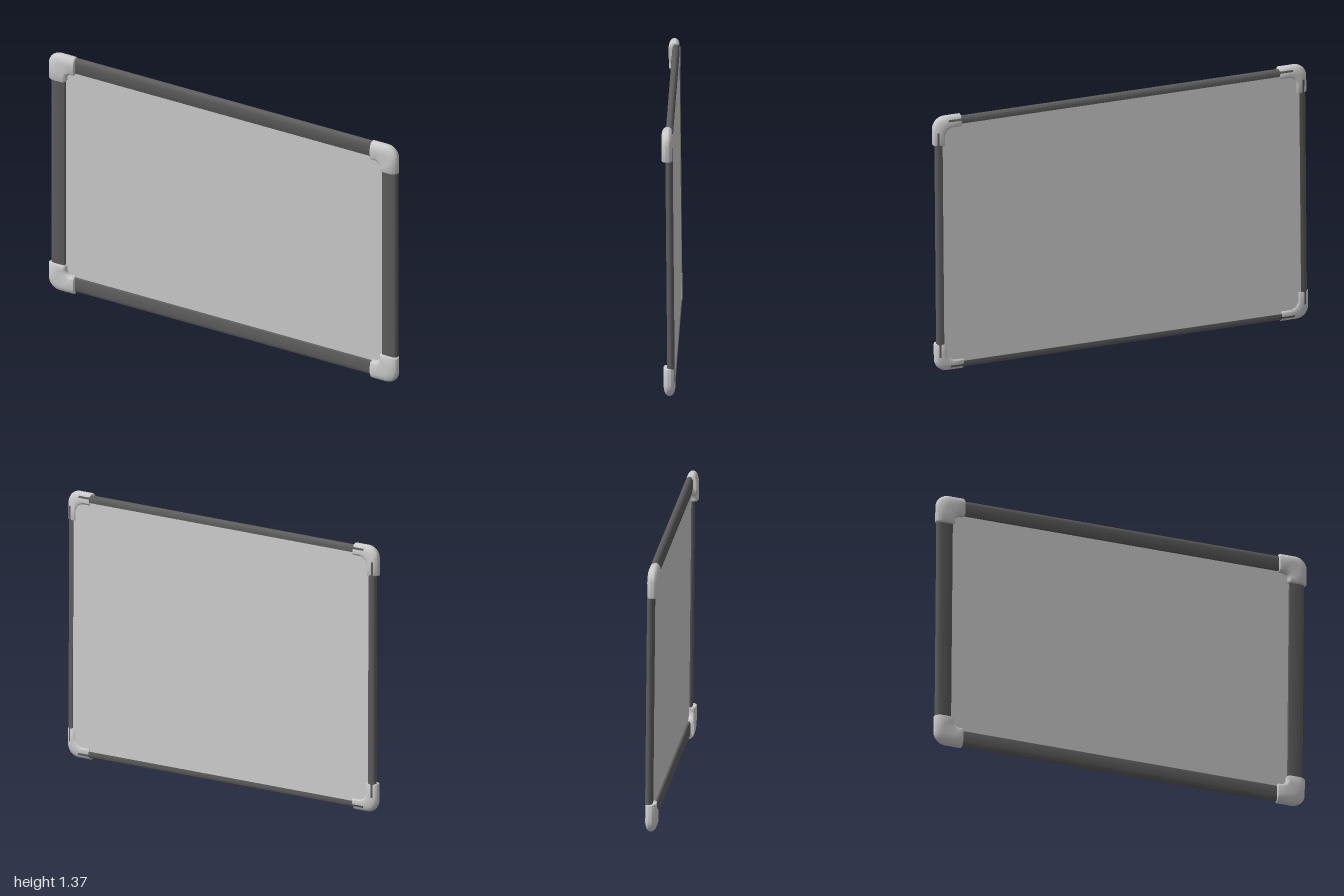
import * as THREE from 'three';
import { toCreasedNormals } from 'three/addons/utils/BufferGeometryUtils.js';

const HALF_W = 0.996, HALF_H = 0.682; // outer size over the corner caps
const RAIL_INSET = 0.009;

// Rail: rounded outside, wide front face, narrow lip at the back.
function railGeometry(length) {
  const s = new THREE.Shape();
  s.moveTo(0, -0.009);
  s.bezierCurveTo(0, 0.003, 0.01, 0.0095, 0.028, 0.0095);
  s.lineTo(0.07, 0.0085);
  s.quadraticCurveTo(0.083, 0.008, 0.083, 0.002);
  s.lineTo(0.083, -0.008);
  s.lineTo(0.036, -0.008);
  s.lineTo(0.036, -0.0275);
  s.lineTo(0.022, -0.0275);
  s.bezierCurveTo(0.01, -0.0275, 0, -0.02, 0, -0.009);
  const g = new THREE.ExtrudeGeometry(s, { depth: length, bevelEnabled: false, curveSegments: 10 });
  g.translate(0, 0, -length / 2);
  // profile x -> y, profile y -> z, extrusion -> x
  g.applyMatrix4(new THREE.Matrix4().makeBasis(
    new THREE.Vector3(0, 1, 0), new THREE.Vector3(0, 0, 1), new THREE.Vector3(1, 0, 0)));
  return toCreasedNormals(g, 0.6);
}

// Corner cap: a rounded section carried round an L, outer edge to inner edge.
function cornerGeometry() {
  const s = new THREE.Shape();
  s.moveTo(0, 0);
  s.bezierCurveTo(0, 0.018, 0.018, 0.029, 0.045, 0.029);
  s.lineTo(0.082, 0.028);
  s.quadraticCurveTo(0.1, 0.026, 0.1, 0.01);
  s.lineTo(0.1, -0.012);
  s.lineTo(0.062, -0.014);
  s.quadraticCurveTo(0.062, -0.029, 0.045, -0.029);
  s.bezierCurveTo(0.018, -0.029, 0, -0.018, 0, 0);
  const profile = s.getPoints(8);
  const n = profile.length;

  const LEG = 0.15;
  // point on an L-shaped edge at offset d with bend radius r
  const bend = (d, r, a) => [d + r - r * Math.sin(a), d + r - r * Math.cos(a)];
  const stations = []; // [outer, inner, section scale]
  const leg = (at, scale) => [[at, 0], [at, 0.1], scale];
  const swap = ([o, i, k]) => [[o[1], o[0]], [i[1], i[0]], k];
  const start = [leg(LEG, 0), leg(LEG, 0.93), leg(LEG - 0.002, 0.98), leg(LEG - 0.006, 1)];
  stations.push(...start);
  for (let k = 0; k <= 14; k++) {
    const a = (k / 14) * Math.PI / 2;
    stations.push([bend(0, 0.065, a), bend(0.1, 0.036, a), 1]);
  }
  stations.push(...start.slice().reverse().map(swap));

  const pos = [], idx = [];
  for (const [o, i, k] of stations) {
    for (const p of profile) {
      const t = 0.5 + (p.x / 0.1 - 0.5) * k;
      pos.push(o[0] + (i[0] - o[0]) * t, o[1] + (i[1] - o[1]) * t, p.y * k);
    }
  }
  for (let r = 0; r < stations.length - 1; r++) {
    for (let j = 0; j < n - 1; j++) {
      const a = r * n + j, b = a + n;
      idx.push(a, a + 1, b, a + 1, b + 1, b);
    }
  }
  const g = new THREE.BufferGeometry();
  g.setAttribute('position', new THREE.Float32BufferAttribute(pos, 3));
  g.setIndex(idx);
  return toCreasedNormals(g, 0.8);
}

export function createModel() {
  const model = new THREE.Group();
  model.name = 'framedBoard';
  const grey = new THREE.MeshStandardMaterial({ color: 0xcccccc });
  const dark = new THREE.MeshStandardMaterial({ color: 0x5c5c5c });

  const board = new THREE.Group();
  board.name = 'board';
  const add = (name, geometry, material, x, y, z, turn = 0) => {
    const m = new THREE.Mesh(geometry, material);
    m.name = name;
    m.position.set(x, y, z);
    m.rotation.z = turn;
    board.add(m);
  };

  // writing panel, set towards the back of the frame
  add('panel', new THREE.BoxGeometry(2 * (HALF_W - 0.04), 2 * (HALF_H - 0.04), 0.02), grey, 0, 0, -0.014);

  // four rails and four corner caps, each a quarter turn on from the last
  const rw = HALF_W - RAIL_INSET, rh = HALF_H - RAIL_INSET;
  const across = railGeometry(2 * (rw - 0.07)), upright = railGeometry(2 * (rh - 0.07));
  const corner = cornerGeometry();
  const q = Math.PI / 2;
  add('bottomRail', across, dark, 0, -rh, 0, 0);
  add('leftRail', upright, dark, rw, 0, 0, q);
  add('topRail', across, dark, 0, rh, 0, 2 * q);
  add('rightRail', upright, dark, -rw, 0, 0, 3 * q);
  add('bottomRightCorner', corner, grey, -HALF_W, -HALF_H, 0, 0);
  add('bottomLeftCorner', corner, grey, HALF_W, -HALF_H, 0, q);
  add('topLeftCorner', corner, grey, HALF_W, HALF_H, 0, 2 * q);
  add('topRightCorner', corner, grey, -HALF_W, HALF_H, 0, 3 * q);

  // the board hangs very slightly askew
  board.rotation.set(0.009, -0.003, -0.005);
  board.position.y = 0.687;
  model.add(board);
  return model;
}
